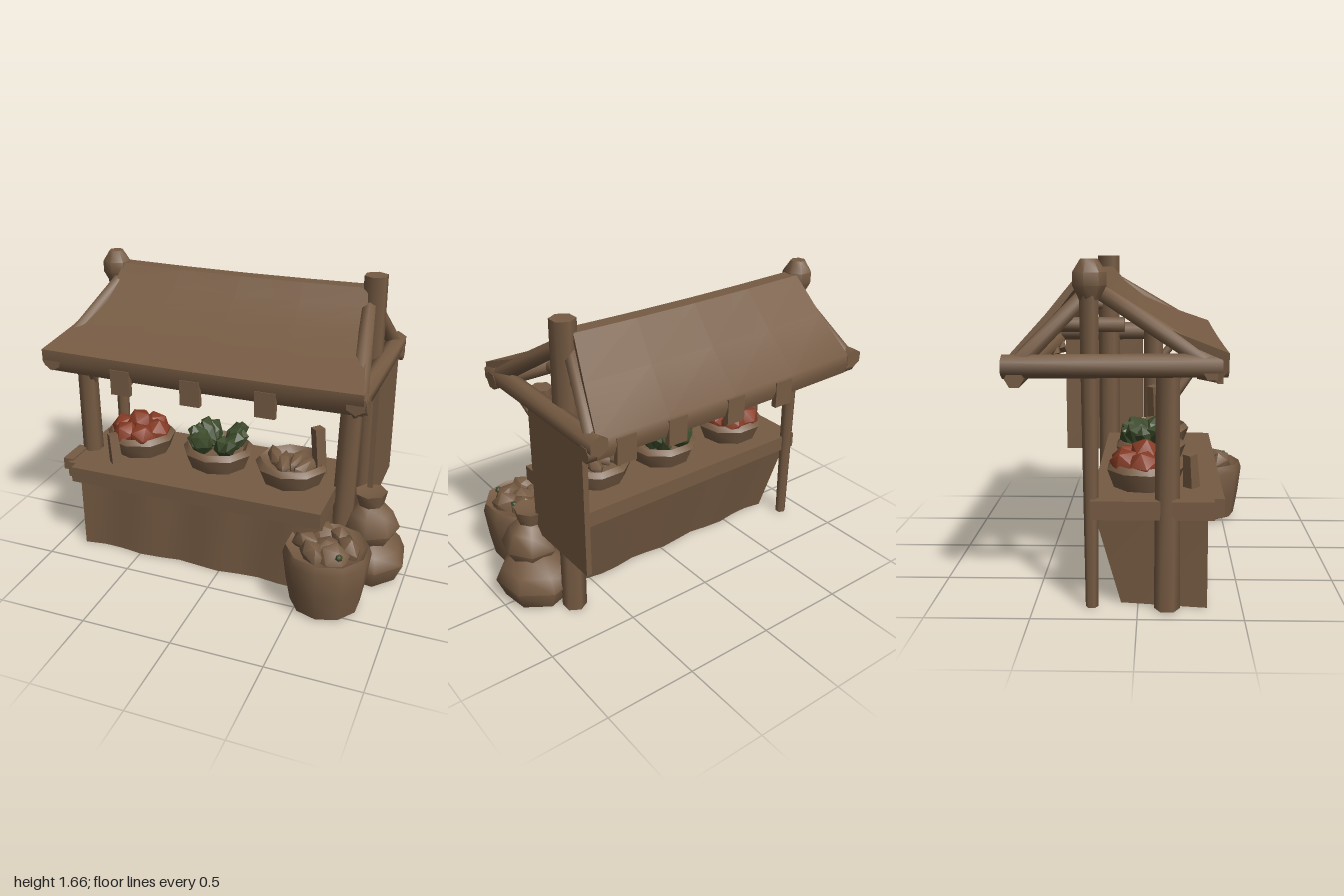
import * as THREE from 'three';
import { toCreasedNormals } from 'three/addons/utils/BufferGeometryUtils.js';

const mat = (name, color) => {
  const m = new THREE.MeshStandardMaterial({ color });
  m.name = name;
  return m;
};

export function createModel() {
  const stall = new THREE.Group();
  stall.name = 'marketStall';
  const brown = mat('weatheredBrown', 0x765b43);
  const red = mat('tomatoRed', 0x873b24);
  const green = mat('leafGreen', 0x3c4a2a);

  let seed = 7;
  const rnd = () => (seed = (seed * 16807) % 2147483647) / 2147483647;
  const UP = new THREE.Vector3(0, 1, 0);

  const add = (name, geo, material = brown, crease = 0.6) => {
    const mesh = new THREE.Mesh(toCreasedNormals(geo, crease), material);
    mesh.name = name;
    stall.add(mesh);
    return mesh;
  };
  // Box given by its min and max corners
  const block = (name, a, b) =>
    add(name, new THREE.BoxGeometry(b[0] - a[0], b[1] - a[1], b[2] - a[2]))
      .position.set((a[0] + b[0]) / 2, (a[1] + b[1]) / 2, (a[2] + b[2]) / 2);
  // Tapered timber between two points
  const timber = (name, a, b, r0, r1 = r0, sides = 6) => {
    const p = new THREE.Vector3(...a), q = new THREE.Vector3(...b);
    const dir = q.clone().sub(p);
    const m = add(name, new THREE.CylinderGeometry(r1, r0, dir.length(), sides), brown, 1.1);
    m.position.copy(p).add(q).multiplyScalar(0.5);
    m.quaternion.setFromUnitVectors(UP, dir.normalize());
  };
  const lathe = (name, pts, pos, sides = 9, sz = 1) => {
    const m = add(name, new THREE.LatheGeometry(pts.map(p => new THREE.Vector2(...p)), sides), brown, 0.9);
    m.position.set(...pos);
    m.scale.z = sz;
    return m;
  };
  // Irregular lump for produce
  const lump = (name, pos, size, material) => {
    const m = add(name, new THREE.IcosahedronGeometry(1, 0), material, 0.8);
    m.position.set(...pos);
    m.scale.set(...size);
    m.rotation.set(rnd() * 3, rnd() * 3, rnd() * 3);
    return m;
  };

  // Draped cloth under the counter: soft folds, drawn in towards the back hem
  const cloth = new THREE.BoxGeometry(1.45, 0.46, 0.52, 12, 1, 1);
  const cp = cloth.attributes.position;
  for (let i = 0; i < cp.count; i++) {
    const x = cp.getX(i), z = cp.getZ(i);
    const hem = cp.getY(i) < 0 ? 1 : 0;
    const back = z < 0 ? 1 : 0;
    cp.setX(i, x * (1 - 0.08 * hem * back));
    cp.setZ(i, z + Math.sign(z) * 0.012 * Math.sin(x * 14) + 0.12 * hem * back);
  }
  add('counterCloth', cloth, brown, 0.9).position.set(-0.135, 0.235, 0.065);
  // Counter slab and front rail
  block('counterTop', [-0.92, 0.46, -0.22], [0.6, 0.55, 0.36]);
  block('counterRail', [-0.87, 0.46, 0.34], [0.6, 0.55, 0.41]);
  block('counterEnd', [-0.96, 0.49, 0.16], [-0.9, 0.56, 0.34]);

  // Posts
  timber('leftFrontPost', [-0.875, 0.01, 0.14], [-0.875, 1.2, 0.14], 0.062, 0.055);
  timber('rightFrontPost', [0.63, 0.01, 0.06], [0.66, 1.2, 0.06], 0.068, 0.06);
  timber('leftRidgePost', [-0.86, 0.01, -0.22], [-0.85, 1.5, -0.22], 0.03, 0.045);
  lathe('leftPostCap', [[0, 0], [0.045, 0], [0.08, 0.07], [0.08, 0.13], [0.04, 0.19], [0, 0.19]], [-0.84, 1.47, -0.22], 7);
  timber('rightRidgePost', [0.69, 0.01, -0.22], [0.68, 1.66, -0.22], 0.066);

  // Roof sheet: a section across z, stretched wider towards the eaves
  const section = [[0.37, 1.12], [0.41, 1.18], [0.41, 1.25], [0.2, 1.325], [0, 1.415], [-0.12, 1.51], [-0.19, 1.595],
    [-0.27, 1.595], [-0.42, 1.41], [-0.6, 1.21], [-0.61, 1.16], [-0.59, 1.1], [-0.57, 1.1], [-0.57, 1.19],
    [-0.4, 1.38], [-0.26, 1.56], [-0.2, 1.56], [-0.1, 1.47], [0.01, 1.38], [0.2, 1.29], [0.38, 1.22], [0.35, 1.12]];
  const roof = new THREE.ExtrudeGeometry(
    new THREE.Shape(section.map(([z, y]) => new THREE.Vector2(-z, y))),
    { depth: 1, steps: 4, bevelEnabled: false });
  roof.rotateY(Math.PI / 2);
  const rp = roof.attributes.position;
  for (let i = 0; i < rp.count; i++) {
    const t = rp.getX(i), z = rp.getZ(i);
    const k = z > -0.22 ? (z + 0.22) / 0.64 : (-0.22 - z) / 0.39;
    const left = -0.77 - k * (z > -0.22 ? 0.22 : 0.12);
    const right = 0.64 + k * (z > -0.22 ? 0.15 : 0.12);
    rp.setX(i, left + (right - left) * t);
    rp.setY(i, rp.getY(i) - 0.008 * Math.sin(Math.PI * t));
  }
  add('roof', roof, brown, 0.6);

  // Eave poles and ridge pole
  timber('frontEavePole', [-0.97, 1.17, 0.34], [0.8, 1.17, 0.34], 0.05);
  timber('rearEavePole', [-0.97, 1.13, -0.55], [0.8, 1.13, -0.55], 0.045);
  timber('ridgePole', [-0.84, 1.52, -0.23], [0.68, 1.52, -0.23], 0.035);

  // Side beams, rafters, collars and braces
  for (const [side, x, top] of [['left', -0.93, -0.8], ['right', 0.75, 0.66]]) {
    timber(side + 'SideBeam', [x, 1.19, 0.41], [x, 1.18, -0.61], 0.055);
    timber(side + 'FrontRafter', [top, 1.5, -0.16], [x, 1.18, 0.36], 0.04, 0.05);
    timber(side + 'RearRafter', [top, 1.49, -0.25], [x, 1.16, -0.57], 0.04, 0.045);
    timber(side + 'Collar', [top, 1.36, -0.06], [top, 1.36, -0.4], 0.035);
  }
  timber('leftBrace', [-0.85, 0.97, 0.12], [-0.79, 1.18, 0.27], 0.025);
  timber('rightBrace', [0.67, 0.97, 0.07], [0.73, 1.18, 0.24], 0.025);

  // Straps that loop the cloth round the eave poles
  const strap = (name, x, y, z, inward) => {
    const zs = [z, z + inward * 0.03].sort((a, b) => a - b);
    block(name, [x - 0.055, y, zs[0]], [x + 0.055, y + 0.14, zs[1]]);
    timber(name + 'Loop', [x, y + 0.025, z + inward * 0.02], [x, y + 0.05, z + inward * 0.12], 0.03, 0.035, 4);
  };
  for (const x of [-0.52, -0.12, 0.29]) strap('frontStrap', x, 1.05, 0.415, -1);
  for (const x of [-0.4, -0.07, 0.3, 0.6]) strap('rearStrap', x, 1.05, -0.612, 1);

  // Hanging side cloth
  block('sideCloth', [0.75, 0.41, -0.505], [0.78, 1.16, -0.01]);

  // Bowls on the counter
  const bowl = [[0, 0], [0.17, 0], [0.205, 0.09], [0.18, 0.12], [0.15, 0.08], [0, 0.08]];
  for (const [name, x, z] of [['tomatoBowl', -0.61, 0.03], ['greensBowl', -0.11, 0.05], ['breadBowl', 0.34, 0.08]])
    lathe(name, bowl, [x, 0.55, z], 9, 0.95);
  // Tomatoes
  for (let i = 0; i < 7; i++) {
    const a = i * 1.05, r = i < 6 ? 0.105 : 0;
    lump('tomato', [-0.61 + Math.cos(a) * r, i < 6 ? 0.665 : 0.705, 0.03 + Math.sin(a) * r], [0.085, 0.08, 0.085], red);
  }
  // Two bunches of leafy greens
  for (const s of [-1, 1]) {
    for (let i = 0; i < 6; i++) {
      const a = (i - 2.5) * 0.5;
      const dir = new THREE.Vector3(s * Math.cos(a) * 0.8, 0.8, Math.sin(a) * 0.9).normalize();
      const leaf = add('leaf', new THREE.IcosahedronGeometry(1, 0), green, 0.5);
      leaf.scale.set(0.05, 0.095, 0.06);
      leaf.quaternion.setFromUnitVectors(UP, dir);
      leaf.position.set(-0.11 + s * (0.045 + 0.055 * Math.cos(a)), 0.685 + 0.02 * (i % 2), 0.05 + Math.sin(a) * 0.1);
    }
  }
  // Loaves
  for (let i = 0; i < 4; i++) {
    const loaf = lump('loaf', [0.24 + i * 0.065, 0.65, 0.06 + (i % 2) * 0.05], [0.045, 0.05, 0.12], brown);
    loaf.rotation.set(0, 0.5 - i * 0.3, 0);
  }
  // Price stakes
  timber('tallStake', [0.5, 0.6, 0.07], [0.475, 0.87, 0.06], 0.04, 0.04, 4);
  timber('shortStake', [-0.66, 0.55, 0.26], [-0.68, 0.72, 0.25], 0.042, 0.035, 4);

  // Floor basket with roots and a few sprouts
  lathe('floorBasket', [[0, 0], [0.19, 0], [0.215, 0.14], [0.235, 0.3], [0.22, 0.345], [0.19, 0.32], [0, 0.32]],
    [0.64, 0.02, 0.39], 10);
  for (let i = 0; i < 7; i++) {
    const a = i * 1.05, r = i < 6 ? 0.11 : 0;
    const x = 0.64 + Math.cos(a) * r, z = 0.39 + Math.sin(a) * r;
    lump('root', [x, 0.35, z], [0.09, 0.06, 0.09], brown);
    if (i % 2) lump('sprout', [x + 0.04, 0.385, z + 0.03], [0.02, 0.022, 0.02], green);
  }

  // Tied sacks beside the stall
  const lower = lathe('lowerSack', [[0, 0], [0.17, 0], [0.215, 0.11], [0.18, 0.19], [0.09, 0.28], [0, 0.28]],
    [0.79, 0.01, 0.01], 7, 1.08);
  lower.rotation.y = 0.35;
  const upper = lathe('upperSack', [[0, 0], [0.1, 0], [0.16, 0.09], [0.12, 0.19], [0.07, 0.235], [0.09, 0.31], [0, 0.29]],
    [0.8, 0.22, 0.04], 7);
  upper.rotation.z = 0.05;

  return stall;
}
